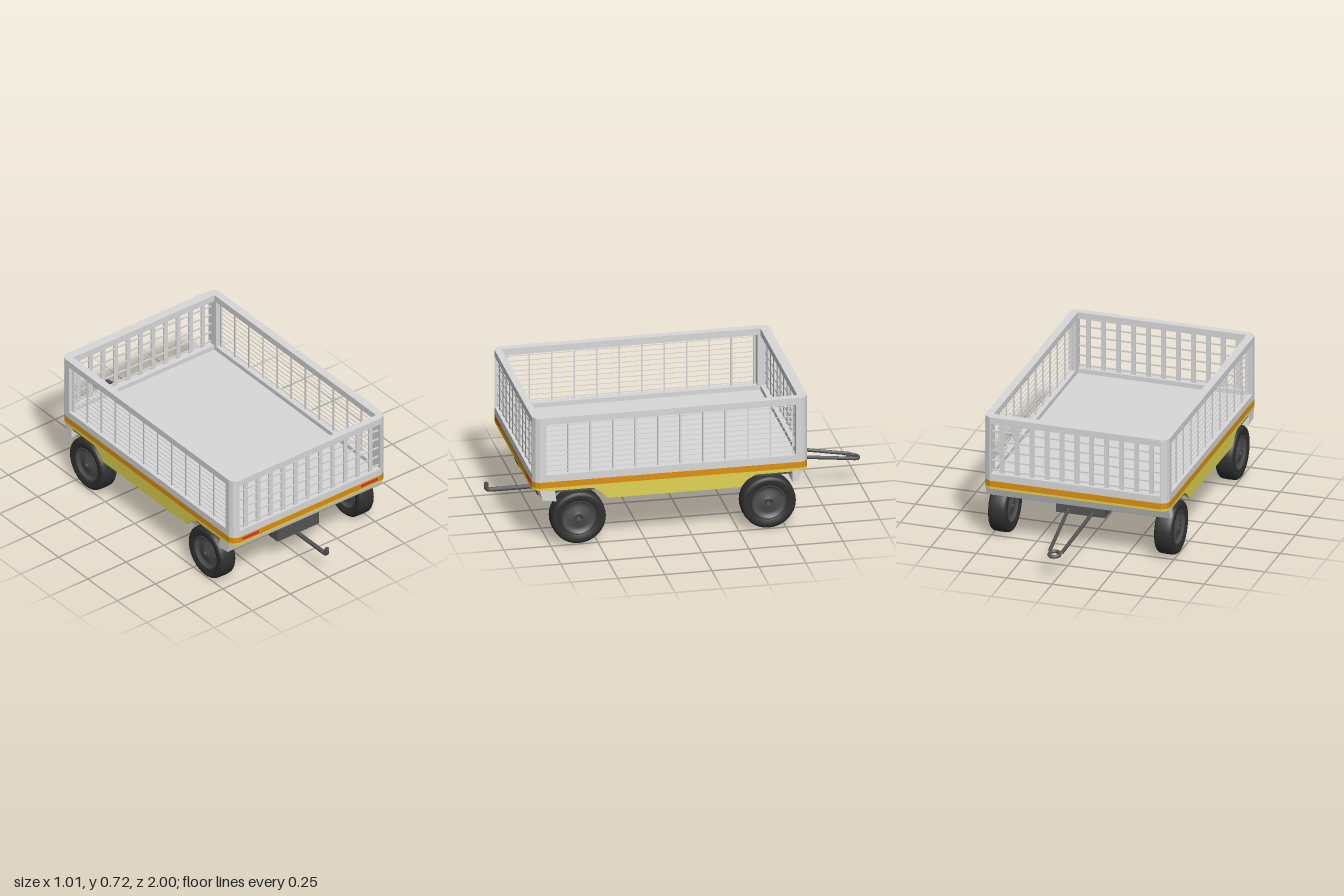
import * as THREE from 'three';

const mat = (name, color) => new THREE.MeshStandardMaterial({ name, color });

export function createModel() {
  const root = new THREE.Group();
  root.name = 'cageTrailer';
  const grey = mat('light grey metal', 0xd8d8d8);
  const orange = mat('orange stripe', 0xe0900e);
  const yellow = mat('yellow skirt', 0xe0d452);
  const dark = mat('dark chassis', 0x545454);
  const tyreMat = mat('black rubber', 0x303030);
  const rimMat = mat('rim grey', 0x4e4e4e);
  const red = mat('red lamp', 0xe62a2a);
  const CZ = 0.113, HX = 0.505, HZ = 0.732; // body centre and half sizes

  const add = (name, geo, m, x = 0, y = 0, z = 0, parent = root) => {
    const mesh = new THREE.Mesh(geo, m);
    mesh.name = name;
    mesh.position.set(x, y, z);
    parent.add(mesh);
    return mesh;
  };
  // box from its two extreme corners
  const box = (name, m, x0, x1, y0, y1, z0, z1, parent) =>
    add(name, new THREE.BoxGeometry(x1 - x0, y1 - y0, z1 - z0), m,
      (x0 + x1) / 2, (y0 + y1) / 2, (z0 + z1) / 2, parent);
  const vecs = (pts) => pts.map(([a, b]) => new THREE.Vector2(a, b));
  const extrude = (pts, depth, hole) => {
    const s = new THREE.Shape(vecs(pts));
    if (hole) s.holes.push(new THREE.Path(vecs(hole)));
    return new THREE.ExtrudeGeometry(s, { depth, bevelEnabled: false });
  };
  // profile given as [z, y], extruded from x0 to x1
  const sideProfile = (name, pts, m, x0, x1) =>
    add(name, extrude(pts.map(([z, y]) => [-z, y]), x1 - x0).rotateY(Math.PI / 2), m, x0);

  // faceted corner, shared by rails and posts
  const corner = [[HX, HZ - 0.035], [HX - 0.01, HZ - 0.015], [HX - 0.035, HZ]];
  const flip = (pts, sx, sz) => pts.map(([x, z]) => [x * sx, z * sz]);
  const outline = [...corner, ...flip(corner, -1, 1).reverse(), ...flip(corner, -1, -1), ...flip(corner, 1, -1).reverse()];
  const ring = (name, y0, y1, m) => {
    const a = HX - 0.042, front = 0.038 - HZ, back = HZ - 0.051;
    const g = extrude(outline, y1 - y0, [[-a, front], [-a, back], [a, back], [a, front]]);
    add(name, g.rotateX(-Math.PI / 2), m, 0, y0, CZ);
  };
  ring('lowerLip', 0.32, 0.332, yellow);
  ring('stripe', 0.332, 0.365, orange);
  ring('bottomRail', 0.365, 0.405, grey);
  ring('topRail', 0.688, 0.725, grey);

  // corner posts
  for (const sx of [-1, 1]) for (const sz of [-1, 1]) {
    const a = HX - 0.042, b = HZ - 0.067;
    const g = extrude(flip([[a, b], [HX, b], ...corner, [a, HZ]], sx, -sz), 0.283);
    add('cornerPost', g.rotateX(-Math.PI / 2), grey, 0, 0.405, CZ);
  }

  // end panels: wide uprights and thin cross bars
  for (const [name, z] of [['frontGrille', 0.826], ['backGrille', -0.597]]) {
    const g = new THREE.Group();
    g.name = name;
    root.add(g);
    for (let i = -5; i <= 5; i++)
      box('upright', grey, i * 0.082 - 0.0125, i * 0.082 + 0.0125, 0.405, 0.688, z - 0.004, z + 0.004, g);
    for (let i = 0; i < 5; i++) {
      const y = 0.42 + i * 0.055;
      box('crossBar', grey, -0.465, 0.465, y - 0.004, y + 0.004, z - 0.003, z + 0.003, g);
    }
  }

  // side panels: fine mesh of wires
  for (const s of [-1, 1]) {
    const g = new THREE.Group();
    g.name = 'sideGrille';
    root.add(g);
    const x = s * 0.485;
    for (let i = 0; i < 12; i++) {
      const z = 0.775 - i * 0.1195;
      box('wireUpright', grey, x - 0.003, x + 0.003, 0.405, 0.688, z - 0.004, z + 0.004, g);
    }
    for (let i = 0; i < 10; i++) {
      const y = 0.42 + i * 0.028;
      box('wire', grey, x - 0.0015, x + 0.0015, y - 0.0015, y + 0.0015, -0.545, 0.78, g);
    }
  }

  // load floor and underside
  box('loadFloor', grey, -0.47, 0.47, 0.33, 0.38, -0.575, 0.81);
  box('underFloor', dark, -0.475, 0.475, 0.3, 0.33, -0.56, 0.78);

  // side skirts, cut away above the wheels
  const skirt = [[0.8, 0.325], [0.76, 0.314], [0.53, 0.314], [0.485, 0.29], [0.45, 0.25],
    [-0.26, 0.25], [-0.295, 0.29], [-0.34, 0.314], [-0.54, 0.314], [-0.58, 0.325]];
  for (const s of [-1, 1]) {
    const x0 = s > 0 ? 0.495 : -0.505;
    sideProfile('sideSkirt', skirt, yellow, x0, x0 + 0.01);
    // sloping inner side of the skirt
    const brace = extrude([[s * 0.496, 0.251], [s * 0.496, 0.32], [s * 0.43, 0.32], [s * 0.43, 0.3]], 0.71);
    add('skirtBrace', brace, dark, 0, 0, -0.26);
    // wheel arch roofs and their inner walls
    for (const z of [0.6, -0.41]) {
      const x1 = s > 0 ? 0.39 : -0.5;
      box('archRoof', dark, x1, x1 + 0.11, 0.302, 0.32, z - 0.12, z + 0.14);
      const arch = [[z + 0.13, 0.258], [z + 0.1, 0.31], [z - 0.1, 0.31], [z - 0.145, 0.258]];
      sideProfile('archWall', arch, dark, s > 0 ? 0.385 : -0.395, s > 0 ? 0.395 : -0.385);
    }
  }

  // bumpers lean inwards towards the bottom
  sideProfile('frontBumper', [[0.81, 0.322], [0.795, 0.262], [0.72, 0.253], [0.73, 0.322]], grey, -0.503, 0.503);
  sideProfile('backBumper', [[-0.59, 0.322], [-0.565, 0.262], [-0.535, 0.253], [-0.535, 0.322]], grey, -0.503, 0.503);

  // lamps
  for (const s of [-1, 1])
    box('lamp', red, s * 0.39 - 0.054, s * 0.39 + 0.054, 0.34, 0.356, 0.84, 0.846);

  // central beam and hitch block
  box('centreBeam', dark, -0.135, 0.135, 0.2, 0.302, -0.535, 0.74);
  box('hitchBlock', dark, -0.137, 0.137, 0.143, 0.256, 0.64, 0.745);

  // tow hook with an upturned end
  const V = (x, y, z) => new THREE.Vector3(x, y, z);
  const hook = new THREE.CurvePath();
  hook.add(new THREE.LineCurve3(V(0, 0.137, 0.7), V(0, 0.137, 0.965)));
  hook.add(new THREE.QuadraticBezierCurve3(V(0, 0.137, 0.965), V(0, 0.137, 0.988), V(0, 0.155, 0.988)));
  hook.add(new THREE.LineCurve3(V(0, 0.155, 0.988), V(0, 0.178, 0.988)));
  add('towHook', new THREE.TubeGeometry(hook, 32, 0.012, 10), dark);
  const cap = add('hookTip', new THREE.CircleGeometry(0.012, 10), dark, 0, 0.178, 0.988);
  cap.rotation.x = -Math.PI / 2;

  // drawbar: two converging rods and an eye
  for (const s of [-1, 1])
    add('drawbarRod', new THREE.TubeGeometry(
      new THREE.LineCurve3(V(s * 0.07, 0.227, -0.5), V(s * 0.033, 0.16, -0.955)), 1, 0.01, 8), dark);
  const eye = add('drawbarEye', new THREE.TorusGeometry(0.028, 0.01, 8, 24), dark, 0, 0.157, -0.962);
  eye.rotation.x = Math.PI / 2 - 0.14;

  // wheels: tyre and stepped rim, turned about the axle
  const lathe = (pts) => new THREE.LatheGeometry(vecs(pts), 32).rotateZ(-Math.PI / 2);
  const tyre = lathe([[0.09, -0.04], [0.1, -0.047], [0.122, -0.05], [0.136, -0.048], [0.144, -0.038], [0.146, -0.012],
    [0.146, 0.012], [0.144, 0.038], [0.136, 0.048], [0.122, 0.05], [0.1, 0.047], [0.09, 0.04]]);
  const half = [[0.012, 0.044], [0.028, 0.044], [0.03, 0.036], [0.056, 0.036], [0.06, 0.03], [0.08, 0.032], [0.086, 0.044], [0.095, 0.045]];
  const rim = lathe([...half.map(([r, y]) => [r, -y]), ...half.slice().reverse(), [0.012, -0.044]]);
  for (const s of [-1, 1]) for (const z of [0.6, -0.41]) {
    const w = new THREE.Group();
    w.name = 'wheel';
    w.position.set(s * 0.455, 0.148, z);
    root.add(w);
    add('tyre', tyre, tyreMat, 0, 0, 0, w);
    add('rim', rim, rimMat, 0, 0, 0, w);
  }
  return root;
}
